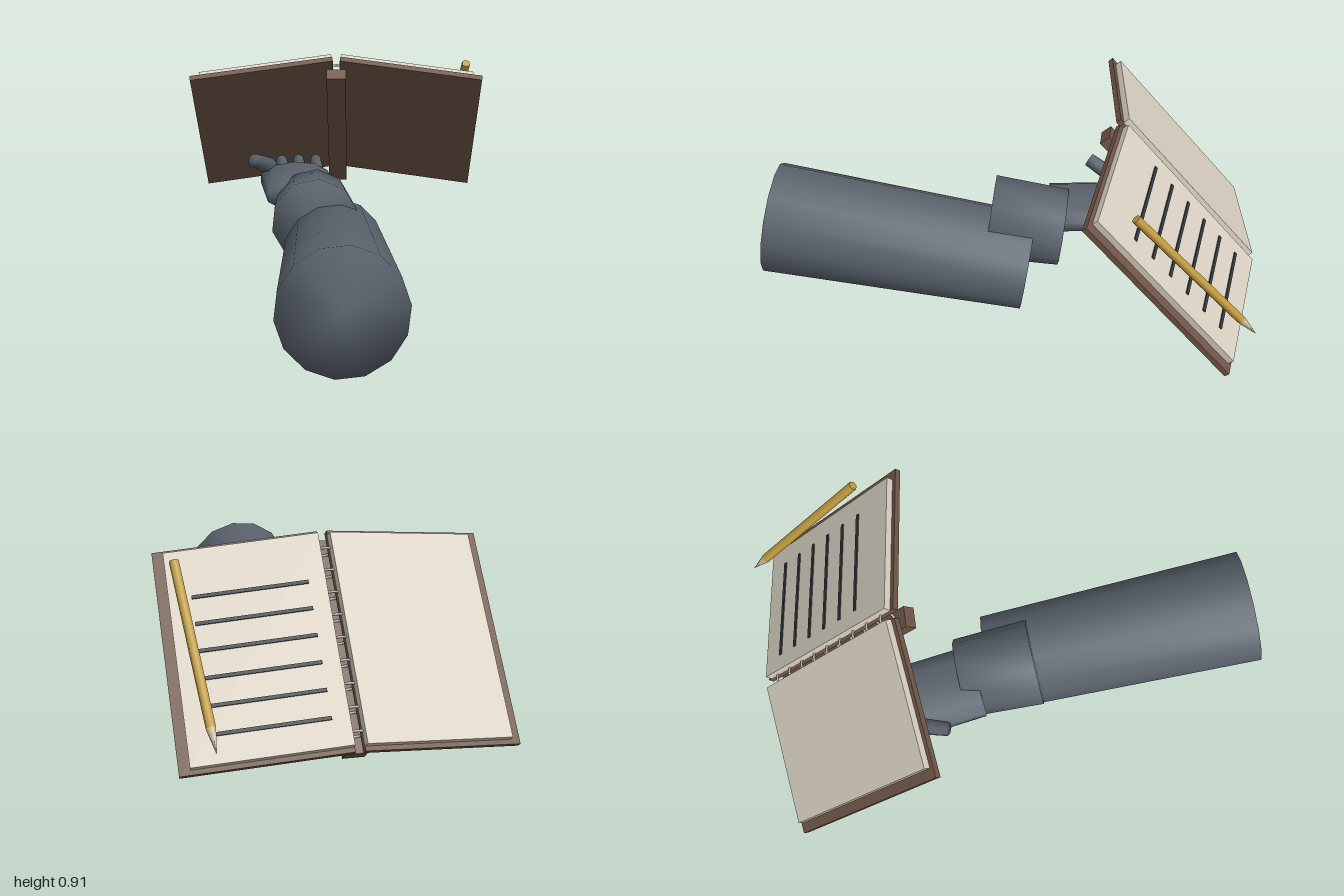
import * as THREE from 'three';
import { mergeVertices } from 'three/addons/utils/BufferGeometryUtils.js';

const material = (name, color) => {
  const m = new THREE.MeshStandardMaterial({ color });
  m.name = name;
  return m;
};
const V = (x, y, z) => new THREE.Vector3(x, y, z);

export function createModel() {
  const slate = material('slate sleeve', 0x5b636e);
  const leather = material('brown leather', 0x6f5647);
  const paper = material('cream paper', 0xd8d0c1);
  const ink = material('dark ink', 0x353a42);
  const gold = material('pencil yellow', 0xc49f40);
  const wood = material('pale wood', 0xd8c6a2);
  const steel = material('ring steel', 0xb4b4b2);

  const model = new THREE.Group();
  model.name = 'armWithNotebook';

  const add = (parent, name, geometry, mat, x = 0, y = 0, z = 0) => {
    const mesh = new THREE.Mesh(geometry, mat);
    mesh.name = name;
    mesh.position.set(x, y, z);
    parent.add(mesh);
    return mesh;
  };

  // Share normals across all faces for a soft, rounded look
  const soften = (geometry) => {
    geometry.deleteAttribute('normal');
    geometry.deleteAttribute('uv');
    const merged = mergeVertices(geometry, 1e-5);
    merged.computeVertexNormals();
    return merged;
  };

  // Tapered rod from point a to point b
  const rod = (parent, name, a, b, ra, rb, sides, mat, soft = true) => {
    let geometry = new THREE.CylinderGeometry(rb, ra, a.distanceTo(b), sides);
    if (soft) geometry = soften(geometry);
    const mesh = add(parent, name, geometry, mat);
    mesh.position.copy(a).lerp(b, 0.5);
    mesh.quaternion.setFromUnitVectors(V(0, 1, 0), b.clone().sub(a).normalize());
    return mesh;
  };

  // Arm
  const arm = new THREE.Group();
  arm.name = 'arm';
  model.add(arm);
  rod(arm, 'sleeve', V(-0.24, 0.352, 0.963), V(-0.105, 0.2, -0.08), 0.227, 0.2, 14, slate);
  rod(arm, 'cuff', V(-0.2, 0.36, 0.07), V(-0.165, 0.325, -0.225), 0.172, 0.158, 10, slate);

  // Flattened palm
  const palm = new THREE.CylinderGeometry(0.15, 0.15, 0.27, 10);
  palm.rotateX(-Math.PI / 2);
  palm.scale(1, 0.43, 1);
  add(arm, 'palm', soften(palm), slate, -0.215, 0.392, -0.315);

  // Fingers fan out slightly, then the thumb
  for (let i = 0; i < 4; i++) {
    const t = i - 1.5;
    rod(arm, 'finger', V(-0.215 + t * 0.066, 0.39, -0.41),
      V(-0.215 + t * 0.074, 0.425, -0.6 + Math.abs(t) * 0.012), 0.031, 0.024, 8, slate);
  }
  rod(arm, 'thumb', V(-0.315, 0.435, -0.48), V(-0.395, 0.502, -0.345), 0.034, 0.028, 8, slate);

  // Notebook frame: local x across the pages, y out of the pages, z to the top edge
  const notebook = new THREE.Group();
  notebook.name = 'notebook';
  const zAxis = V(-0.112, 0.745, 0.657).normalize();
  const yAxis = zAxis.clone().cross(V(0.986, -0.0015, 0.168)).normalize();
  const xAxis = yAxis.clone().cross(zAxis);
  notebook.quaternion.setFromRotationMatrix(new THREE.Matrix4().makeBasis(xAxis, yAxis, zAxis));
  notebook.position.set(0.01, 0.605, -0.692);
  model.add(notebook);

  // Two halves that bend away from the spine
  for (const side of [-1, 1]) {
    const half = new THREE.Group();
    half.name = side > 0 ? 'leftHalf' : 'rightHalf';
    half.rotation.z = -side * 0.165;
    notebook.add(half);
    add(half, 'cover', new THREE.BoxGeometry(0.592, 0.022, 0.82), leather, side * 0.314, -0.011, 0);
    add(half, 'pages', new THREE.BoxGeometry(0.552, 0.026, 0.785), paper, side * 0.294, 0.013, 0);
    if (side > 0) {
      for (let i = 0; i < 6; i++) {
        add(half, 'writtenLine', new THREE.BoxGeometry(0.41, 0.006, 0.013), ink,
          0.285, 0.028, 0.21 - i * 0.1);
      }
    }
  }

  // Spine bar held below the covers by rings
  add(notebook, 'spineBar', new THREE.BoxGeometry(0.08, 0.046, 0.8), leather, 0, -0.085, 0);
  for (let i = 0; i < 9; i++) {
    add(notebook, 'bindingRing', new THREE.TorusGeometry(0.035, 0.005, 6, 16), steel,
      0, -0.03, -0.34 + i * 0.085);
  }

  // Pencil floating over the page
  const pencil = new THREE.Group();
  pencil.name = 'pencil';
  model.add(pencil);
  const end = V(0.518, 0.86, -0.42);
  const tip = V(0.54, 0.345, -0.888);
  const shoulder = end.clone().lerp(tip, 0.875);
  rod(pencil, 'pencilBody', end, shoulder, 0.018, 0.018, 6, gold, false);
  rod(pencil, 'pencilTip', shoulder, tip, 0.018, 0.001, 6, wood, false);

  return model;
}
